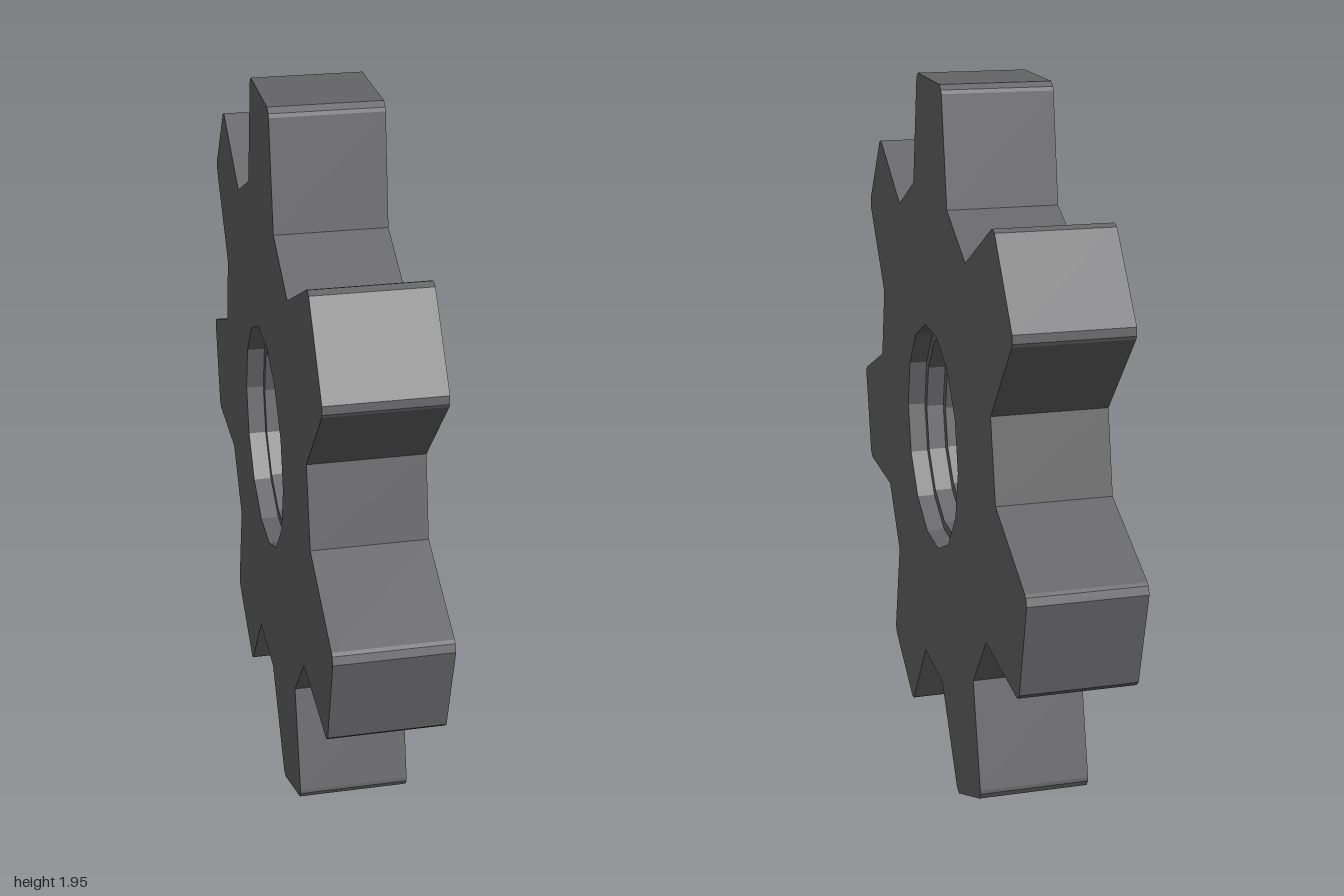
import * as THREE from 'three';

const TEETH = 7;
const HALF = 0.15;       // half thickness along x
const CENTRE_Y = 0.956;  // axle height
const BORE_SIDES = 14;

// One tooth as [sideways, outward] offsets, root to root
const TOOTH = [
  [-0.207, 0.684], [-0.152, 0.975], [-0.148, 0.985], [-0.13, 0.997],
  [0.13, 0.997], [0.148, 0.985], [0.152, 0.975], [0.207, 0.684],
];

function gearOutline() {
  const points = [];
  for (let i = 0; i < TEETH; i++) {
    const a = (i / TEETH) * Math.PI * 2;
    for (const [t, r] of TOOTH) {
      points.push(new THREE.Vector2(
        t * Math.cos(a) + r * Math.sin(a),
        r * Math.cos(a) - t * Math.sin(a),
      ));
    }
  }
  return new THREE.Shape(points);
}

function polygonPath(radius, sides) {
  const points = [];
  for (let i = 0; i < sides; i++) {
    const a = (i / sides) * Math.PI * 2;
    points.push(new THREE.Vector2(radius * Math.cos(a), radius * Math.sin(a)));
  }
  return new THREE.Path(points);
}

export function createModel() {
  const group = new THREE.Group();
  group.name = 'gear';
  const metal = new THREE.MeshStandardMaterial({ color: 0x656567 });
  metal.name = 'dark grey metal';
  metal.flatShading = true;

  // Toothed plate with a polygonal opening
  const shape = gearOutline();
  shape.holes.push(polygonPath(0.317, BORE_SIDES));
  const plate = new THREE.ExtrudeGeometry(shape, { depth: HALF * 2, bevelEnabled: false });
  plate.translate(0, 0, -HALF);
  plate.rotateY(Math.PI / 2);
  const body = new THREE.Mesh(plate, metal);
  body.name = 'toothedPlate';

  // Stepped bore, narrowing from both faces to the middle
  const profile = [
    [0.317, 0.1], [0.29, 0.1], [0.29, 0.05], [0.259, 0.05],
    [0.259, -0.05], [0.29, -0.05], [0.29, -0.1], [0.317, -0.1],
  ].map(([r, y]) => new THREE.Vector2(r, y));
  const ring = new THREE.LatheGeometry(profile, BORE_SIDES);
  ring.rotateZ(-Math.PI / 2);
  const bore = new THREE.Mesh(ring, metal);
  bore.name = 'steppedBore';

  for (const part of [body, bore]) {
    part.position.y = CENTRE_Y;
    group.add(part);
  }
  return group;
}
